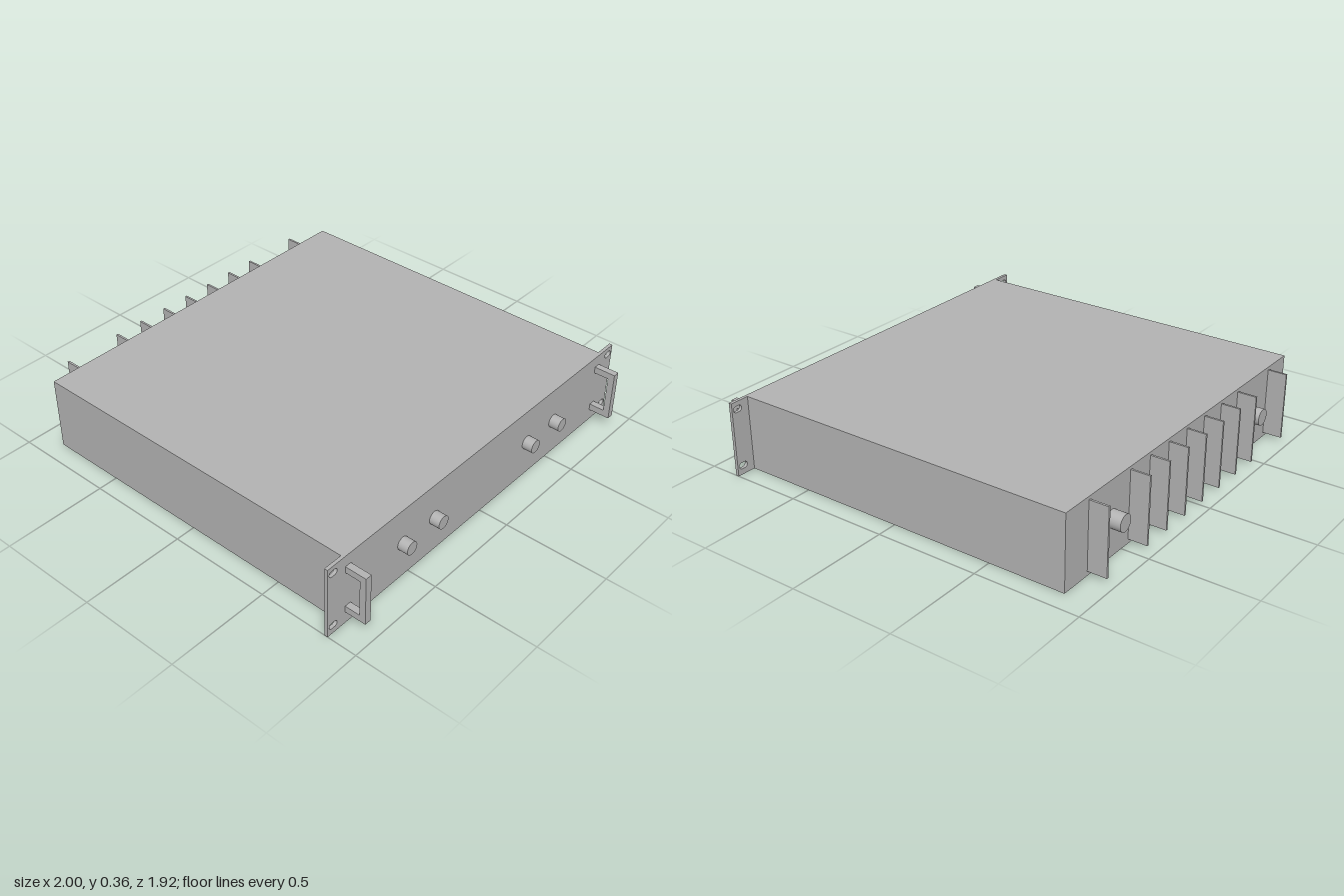
import * as THREE from 'three';

export function createModel() {
  const model = new THREE.Group();
  model.name = 'rackUnit';
  const grey = new THREE.MeshStandardMaterial({ color: 0xb3b3b3 });
  grey.name = 'grey metal';

  const H = 0.36, MID = 0.183, FRONT = 0.855, BACK = -0.868;

  const add = (name, geometry, x, y, z) => {
    const mesh = new THREE.Mesh(geometry, grey);
    mesh.name = name;
    mesh.position.set(x, y, z);
    model.add(mesh);
    return mesh;
  };

  const rect = (path, x0, y0, x1, y1) => {
    path.moveTo(x0, y0);
    path.lineTo(x1, y0);
    path.lineTo(x1, y1);
    path.lineTo(x0, y1);
    path.closePath();
    return path;
  };

  // Chassis box
  const depth = 0.84 - BACK;
  add('chassis', new THREE.BoxGeometry(1.81, H, depth), 0, H / 2, BACK + depth / 2);

  // Front panel with four rounded mounting slots
  const panel = rect(new THREE.Shape(), -1, 0, 1, H);
  const r = 0.015, half = 0.0085;
  for (const x of [-0.967, 0.967]) {
    for (const y of [0.043, 0.323]) {
      const slot = new THREE.Path();
      slot.absarc(x + half, y, r, -Math.PI / 2, Math.PI / 2, false);
      slot.absarc(x - half, y, r, Math.PI / 2, Math.PI * 1.5, false);
      slot.closePath();
      panel.holes.push(slot);
    }
  }
  add('frontPanel', new THREE.ExtrudeGeometry(panel, { depth: 0.016, bevelEnabled: false, curveSegments: 16 }),
    0, 0, FRONT - 0.016);

  // Square-section U handles, profile drawn in depth (x) and height (y)
  const profile = new THREE.Shape();
  [[0, 0.06], [0.104, 0.06], [0.104, 0.305], [0, 0.305], [0, 0.273], [0.073, 0.273], [0.073, 0.092], [0, 0.092]]
    .forEach(([z, y], i) => (i ? profile.lineTo(z, y) : profile.moveTo(z, y)));
  profile.closePath();
  const handle = new THREE.ExtrudeGeometry(profile, { depth: 0.032, bevelEnabled: false });
  handle.translate(0, 0, -0.016).rotateY(-Math.PI / 2);
  for (const x of [-0.88, 0.88]) add('handle', handle, x, 0, FRONT);

  // Front knobs
  const knob = new THREE.CylinderGeometry(0.032, 0.032, 0.05, 32).rotateX(Math.PI / 2);
  for (const x of [-0.542, -0.335, 0.329, 0.537]) add('knob', knob, x, MID, FRONT + 0.025);

  // Rear connectors
  const connector = new THREE.CylinderGeometry(0.04, 0.04, 0.066, 32).rotateX(Math.PI / 2);
  for (const x of [-0.583, 0.581]) add('rearConnector', connector, x, MID, BACK - 0.033);

  // Rear cooling fins
  const fin = new THREE.BoxGeometry(0.01, 0.324, 0.092);
  for (const x of [-0.746, -0.45, -0.3, -0.15, -0.002, 0.146, 0.295, 0.445, 0.744]) {
    add('coolingFin', fin, x, MID, BACK - 0.046);
  }

  return model;
}
